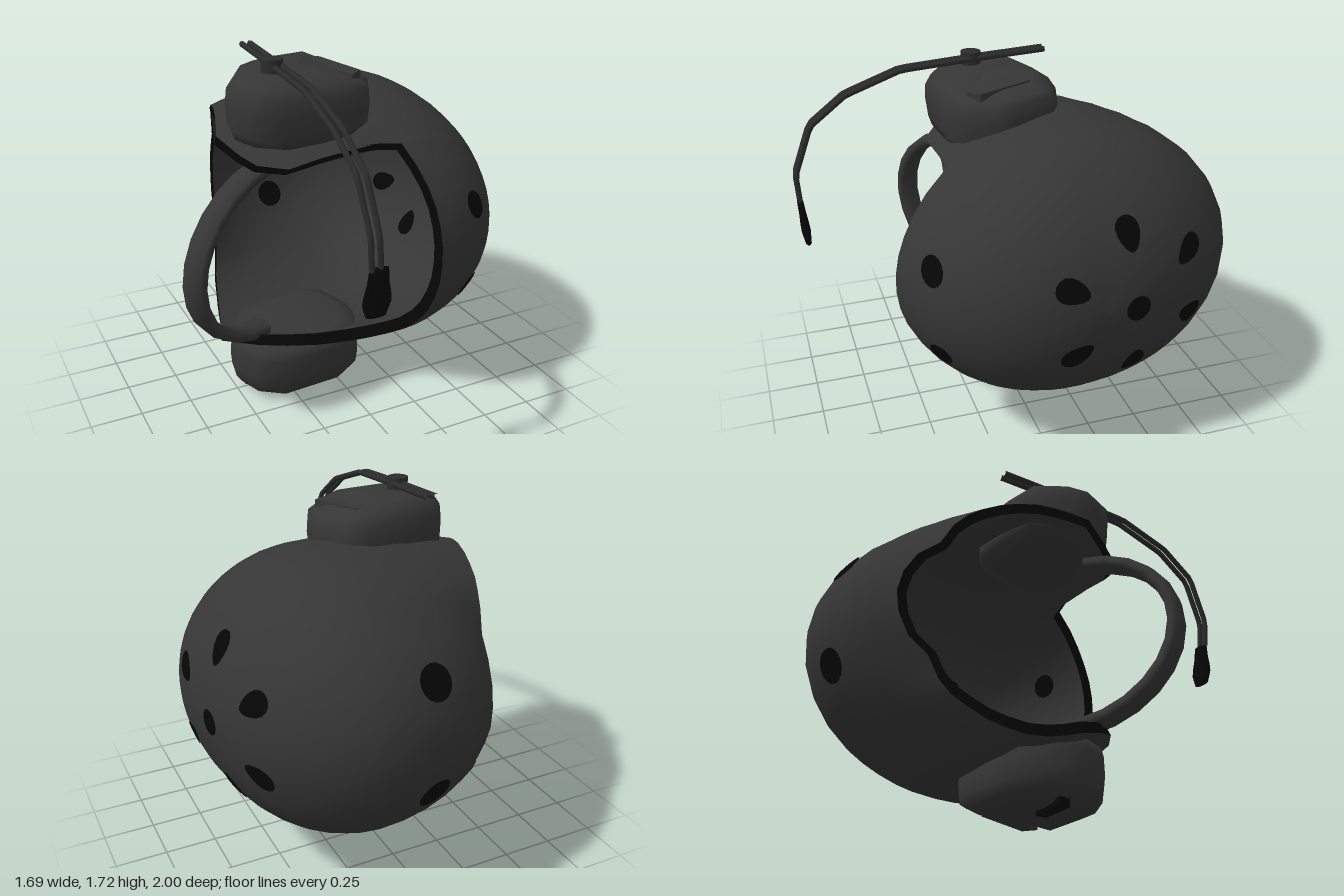
import * as THREE from 'three';

const mat = (name, color, side = THREE.FrontSide) => {
  const m = new THREE.MeshStandardMaterial({ color, side });
  m.name = name;
  return m;
};

// Surface through rows of closed rings; flip turns it inside out
function loft(rows, flip = false) {
  const n = rows[0].length, pos = [], idx = [];
  rows.forEach(r => r.forEach(p => pos.push(...p)));
  for (let i = 0; i < rows.length - 1; i++) {
    for (let j = 0; j < n; j++) {
      const k = (j + 1) % n;
      const a = i * n + j, b = a + n, c = (i + 1) * n + k, d = i * n + k;
      if (flip) idx.push(a, c, b, a, d, c);
      else idx.push(a, b, c, a, c, d);
    }
  }
  const g = new THREE.BufferGeometry();
  g.setAttribute('position', new THREE.Float32BufferAttribute(pos, 3));
  g.setIndex(idx);
  g.computeVertexNormals();
  return g;
}

// Helmet body: half ellipsoid crown (+x) with longer skirt below it
const CX = 0.2, CZ = -0.182, A = 0.633, B = 0.667, C = 0.82, T = 0.06;
// The forehead side of the crown is fuller than the back
const bulge = (z, c) => 0.14 * Math.max(0, z) * Math.max(0, c);
// Columns of one half: angle from the brow in degrees, rim height x, angle at the rim
const half = [
  [0, 0.27, 0], [8, 0.27, 8], [16, 0.266, 16], [24, 0.26, 24], [32, 0.247, 32], [41, 0.225, 41],
  [49, 0.2, 50], [50.5, 0.1, 51.5], [52, 0, 52], [54, -0.18, 50.5], [56, -0.34, 49],
  [59, -0.46, 54], [63, -0.51, 61], [71.5, -0.57, 73], [78, -0.545, 79], [85, -0.52, 85],
  [92, -0.495, 92], [100, -0.47, 100], [107, -0.447, 107], [115, -0.425, 115], [122, -0.4, 122],
  [130, -0.38, 130], [142, -0.36, 142], [155, -0.335, 155], [168, -0.325, 168], [180, -0.32, 180]
];
const columns = [...half, ...half.slice(1, -1).reverse().map(([a, x, r]) => [360 - a, x, 360 - r])];

function shellRow(t, inset) {
  return columns.map(([deg, rim, rimDeg]) => {
    const psi = THREE.MathUtils.degToRad(deg + (rimDeg - deg) * t ** 8);
    const back = Math.min(1, Math.max(0, -Math.cos(psi) * 1.3));
    const front = Math.min(1, Math.max(0, (Math.cos(psi) - 0.3) * 5));
    const low = rim > CX ? A : 1.48 - 0.7 * back - 0.16 * front;
    const th = t * Math.acos((rim - CX) / low);
    const c = Math.cos(th), s = Math.sin(th);
    const z = (C - inset) * s * Math.cos(psi);
    const x = CX + (c > 0 ? A - inset : low) * c + bulge(z, c);
    return [x, (B - inset) * s * Math.sin(psi), CZ + z];
  });
}

export function createModel() {
  const shellMat = mat('charcoal', 0x363636);
  const blackMat = mat('black', 0x060606, THREE.DoubleSide);
  const boomMat = mat('dark grey', 0x2c2c2c);
  const model = new THREE.Group();
  const helmet = new THREE.Group();
  helmet.name = 'helmet';
  helmet.position.y = 0.845;
  helmet.rotation.x = 0.06;
  model.add(helmet);

  const add = (parent, name, geo, m) => {
    const mesh = new THREE.Mesh(geo, m);
    mesh.name = name;
    parent.add(mesh);
    return mesh;
  };

  // Shell, lining and the edge joining them
  const steps = [...Array(17).keys()].map(i => i / 16);
  add(helmet, 'outerShell', loft(steps.map(t => shellRow(t, 0)), true), shellMat);
  add(helmet, 'innerShell', loft(steps.map(t => shellRow(t, T))), shellMat);
  add(helmet, 'rimTrim', loft([shellRow(1, 0), shellRow(1, T)], true), blackMat);

  // Vents: tapered discs laid on the curved shell, outside and inside
  function vent(name, p, up, w, len, taper) {
    const low = p.x < 0 ? 0.78 : A;
    const n = new THREE.Vector3(p.x / low ** 2, p.y / B ** 2, p.z / C ** 2).normalize();
    const v = up.clone().addScaledVector(n, -up.dot(n)).normalize();
    const u = new THREE.Vector3().crossVectors(v, n);
    for (const [inset, lift] of [[0, 1.006], [T, 0.99]]) {
      const g = new THREE.CircleGeometry(1, 16);
      const q = g.attributes.position, d = new THREE.Vector3();
      for (let i = 0; i < q.count; i++) {
        const a = q.getX(i), b = q.getY(i);
        d.copy(p).addScaledVector(u, a * w * (1 + taper * b)).addScaledVector(v, b * len);
        const ax = d.x > 0 ? A - inset : low;
        d.multiplyScalar(lift / Math.hypot(d.x / ax, d.y / (B - inset), d.z / (C - inset)));
        q.setXYZ(i, CX + d.x + bulge(d.z, d.x / ax), d.y, CZ + d.z);
      }
      g.computeVertexNormals();
      add(helmet, name, g, blackMat);
    }
  }
  // Point on the crown from its height and depth, relative to the shell centre
  const crownPoint = (y, z) =>
    new THREE.Vector3(A * Math.sqrt(1 - (y / B) ** 2 - (z / C) ** 2), y, z);
  const vc = -0.138;
  vent('crownVent', crownPoint(0, vc), new THREE.Vector3(0, 1, 0), 0.06, 0.06, 0);
  for (let i = 0; i < 6; i++) {
    const a = i * Math.PI / 3 + 0.04;
    const dir = new THREE.Vector3(0, Math.cos(a), Math.sin(a));
    vent('ringVent', crownPoint(dir.y * 0.328, vc + dir.z * 0.335), dir, 0.055, 0.083, 0.28);
  }
  for (const s of [1, -1]) {
    vent('frontVent', crownPoint(s * 0.215, 0.684), new THREE.Vector3(0.4, -s, 0), 0.06, 0.07, 0);
    const y = s * 0.255, x = -0.15;
    const z = -C * Math.sqrt(1 - (y / B) ** 2 - (x / 0.78) ** 2);
    vent('backVent', new THREE.Vector3(x, y, z), new THREE.Vector3(0, 1, 0), 0.082, 0.082, 0);
  }

  // Ear cups: one outline scaled at several heights, stepped down towards the crown
  const outline = [
    [-0.5, -0.04], [-0.4, -0.2], [-0.2, -0.25], [0, -0.275], [0.1, -0.22], [0.17, -0.03],
    [0.165, 0.07], [0.1, 0.21], [0, 0.265], [-0.34, 0.285], [-0.47, 0.2], [-0.52, 0.08]
  ];
  const levels = [
    [0.5, 0], [0.5, 0.7], [0.535, 0.94], [0.58, 0.98], [0.67, 1], [0.74, 0.98],
    [0.79, 0.88], [0.82, 0.68], [0.822, 0]
  ];
  const ridgeShape = new THREE.Shape(
    [[-0.06, -0.17], [0.01, -0.14], [0.095, 0.12], [0.03, 0.165], [-0.02, 0.05]]
      .map(p => new THREE.Vector2(...p)));
  for (const s of [1, -1]) {
    const rows = levels.map(([y, k]) => outline.map(([x, z]) => {
      const px = -0.17 + (x + 0.17) * k;
      const drop = y > 0.75 && px > -0.02 ? 0.028 : 0;
      return [px, s * (y - drop), 0.01 + (z - 0.01) * k];
    }));
    add(helmet, 'earCup', loft(rows, s < 0), shellMat);
    const ridge = new THREE.ExtrudeGeometry(ridgeShape, { depth: 0.04, bevelEnabled: false });
    ridge.rotateX(Math.PI / 2);
    add(helmet, 'earCupRidge', ridge, shellMat).position.y = s > 0 ? 0.802 : -0.762;
  }
  add(helmet, 'cupSocket', new THREE.BoxGeometry(0.19, 0.04, 0.055), blackMat).position.set(-0.355, -0.818, 0.01);

  // Chin strap: flat band swept round a half ellipse
  const strap = [];
  for (let i = 0; i <= 12; i++) {
    const a = THREE.MathUtils.degToRad(-84 + i * 14);
    const ring = [];
    for (let k = 0; k < 8; k++) {
      const r = 0.034 * Math.cos(k * Math.PI / 4);
      const p = 0.055 * THREE.MathUtils.clamp(1.3 * Math.sin(k * Math.PI / 4), -1, 1);
      const d = (0.51 + r) * Math.cos(a);
      ring.push([-0.35 - 0.88 * d + 0.47 * p, (0.425 + r) * Math.sin(a) - 0.01, 0.11 + 0.47 * d + 0.88 * p]);
    }
    strap.push(ring);
  }
  add(helmet, 'chinStrap', loft(strap, true), shellMat);

  // Microphone boom: twin wires, pivot knob and foam tip
  const path = [
    [-0.29, 1.71, -0.26], [-0.295, 1.69, 0.1], [-0.3, 1.665, 0.45], [-0.295, 1.57, 0.72],
    [-0.285, 1.44, 0.895], [-0.27, 1.21, 0.985], [-0.26, 1.07, 0.978]
  ];
  for (const s of [1, -1]) {
    const curve = new THREE.CurvePath();
    const pts = path.map(p => new THREE.Vector3(p[0] + s * 0.02, p[1], p[2]));
    for (let i = 1; i < pts.length; i++) curve.add(new THREE.LineCurve3(pts[i - 1], pts[i]));
    add(model, 'boomWire', new THREE.TubeGeometry(curve, 40, 0.014, 6), boomMat);
  }
  add(model, 'boomKnob', new THREE.CylinderGeometry(0.05, 0.05, 0.06, 10), boomMat).position.set(-0.31, 1.69, 0.1);
  const foam = [[0, 0], [0.047, 0], [0.067, 0.06], [0.063, 0.1], [0.052, 0.15], [0.044, 0.22], [0, 0.225]];
  const mic = add(model, 'microphone',
    new THREE.LatheGeometry(foam.map(p => new THREE.Vector2(...p)), 12), blackMat);
  mic.position.set(-0.247, 0.857, 0.961);
  mic.scale.z = 0.33;
  mic.rotation.x = 0.08;
  return model;
}
